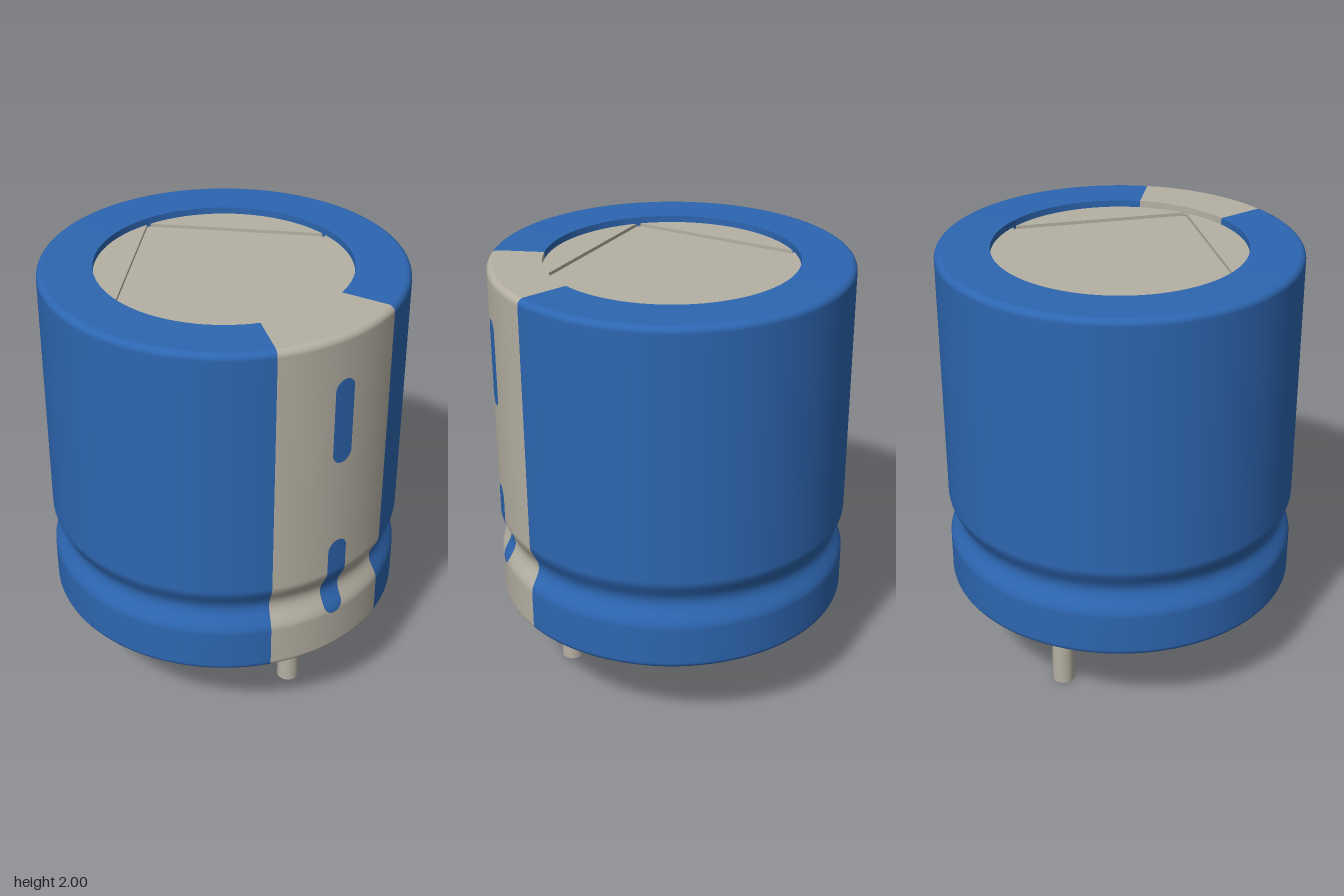
import * as THREE from 'three';

const BODY_R = 0.8, RIM_R = 0.56, BOTTOM = 0.4, TOP = 2, FILLET = 0.03;
const GROOVE_Y = 0.72, GROOVE_HALF = 0.12, GROOVE_DEPTH = 0.042;
const STRIPE_ANGLE = Math.PI / 4;

// Radius of the can wall at height y, with the crimped groove
function wallRadius(y) {
  const t = (y - GROOVE_Y) / GROOVE_HALF;
  return Math.abs(t) >= 1 ? BODY_R : BODY_R - GROOVE_DEPTH * (0.5 + 0.5 * Math.cos(Math.PI * t));
}

// Sleeve profile: bottom lip, rounded edge, groove, rounded edge, top lip.
// Repeated points keep the inner lip edges sharp.
function sleeveProfile() {
  const pts = [];
  const add = (r, y) => pts.push(new THREE.Vector2(r, y));
  const fillet = (cy, from) => {
    for (let i = 0; i <= 6; i++) {
      const a = from + (i / 6) * Math.PI / 2;
      add(BODY_R - FILLET + FILLET * Math.cos(a), cy + FILLET * Math.sin(a));
    }
  };
  add(RIM_R, BOTTOM + 0.035);
  add(RIM_R, BOTTOM);
  add(RIM_R, BOTTOM);
  fillet(BOTTOM + FILLET, -Math.PI / 2);
  for (let i = 0; i <= 24; i++) {
    const y = GROOVE_Y + GROOVE_HALF * (i / 12 - 1);
    add(wallRadius(y), y);
  }
  fillet(TOP - FILLET, 0);
  add(RIM_R, TOP);
  add(RIM_R, TOP);
  add(RIM_R, TOP - 0.04);
  return pts;
}

// Thin rounded slot mark that follows the wall on the +x side
function slotGeometry(centerY) {
  const halfW = 0.05, halfH = 0.2;
  const geo = new THREE.PlaneGeometry(2, 2, 4, 48);
  const pos = geo.attributes.position;
  for (let i = 0; i < pos.count; i++) {
    const dy = halfH * Math.sin(pos.getY(i) * Math.PI / 2);
    const over = Math.max(0, Math.abs(dy) - (halfH - halfW));
    const w = Math.sqrt(Math.max(1e-6, halfW * halfW - over * over));
    const r = wallRadius(centerY + dy) + 0.002;
    const a = Math.asin(pos.getX(i) * w / r);
    pos.setXYZ(i, r * Math.cos(a), centerY + dy, -r * Math.sin(a));
  }
  geo.computeVertexNormals();
  return geo;
}

// Quarter of the scored top plate
function quarterGeometry() {
  const gap = 0.01, a = Math.asin(gap / RIM_R);
  const shape = new THREE.Shape();
  shape.moveTo(gap, gap);
  shape.absarc(0, 0, RIM_R, a, Math.PI / 2 - a, false);
  shape.closePath();
  const geo = new THREE.ExtrudeGeometry(shape, { depth: 0.015, bevelEnabled: false, curveSegments: 24 });
  return geo.rotateX(-Math.PI / 2);
}

export function createModel() {
  const blue = new THREE.MeshStandardMaterial({ color: 0x2d66b1 });
  blue.name = 'sleeve blue';
  const grey = new THREE.MeshStandardMaterial({ color: 0xb5b0a3 });
  grey.name = 'metal grey';

  const model = new THREE.Group();
  model.name = 'capacitor';
  const add = (name, geo, mat, x = 0, y = 0, z = 0) => {
    const mesh = new THREE.Mesh(geo, mat);
    mesh.name = name;
    mesh.position.set(x, y, z);
    model.add(mesh);
    return mesh;
  };

  // Sleeve and its polarity stripe, centred on +x
  const profile = sleeveProfile();
  const edge = Math.PI / 2 + STRIPE_ANGLE / 2;
  add('sleeve', new THREE.LatheGeometry(profile, 84, edge, Math.PI * 2 - STRIPE_ANGLE), blue);
  add('stripe', new THREE.LatheGeometry(profile, 12, edge - STRIPE_ANGLE, STRIPE_ANGLE), grey);
  for (const y of [0.8, 1.6]) add('stripeSlot', slotGeometry(y), blue);

  // Recessed top plate with cross-shaped score lines
  add('topPlateFloor', new THREE.CylinderGeometry(RIM_R, RIM_R, 0.02, 96), grey, 0, 1.945, 0);
  const quarter = quarterGeometry();
  for (let i = 0; i < 4; i++) {
    add('topPlateQuarter', quarter, grey, 0, 1.955, 0).rotation.y = i * Math.PI / 2;
  }

  // Recessed base
  add('base', new THREE.CylinderGeometry(RIM_R, RIM_R, 0.02, 96), blue, 0, 0.44, 0);

  // Leads: the one on the stripe side is shorter
  for (const [name, x, low] of [['longLead', -0.5, 0], ['shortLead', 0.5, 0.025]]) {
    const h = 0.44 - low;
    add(name, new THREE.CylinderGeometry(0.05, 0.05, h, 32), grey, x, low + h / 2, 0);
  }
  return model;
}
